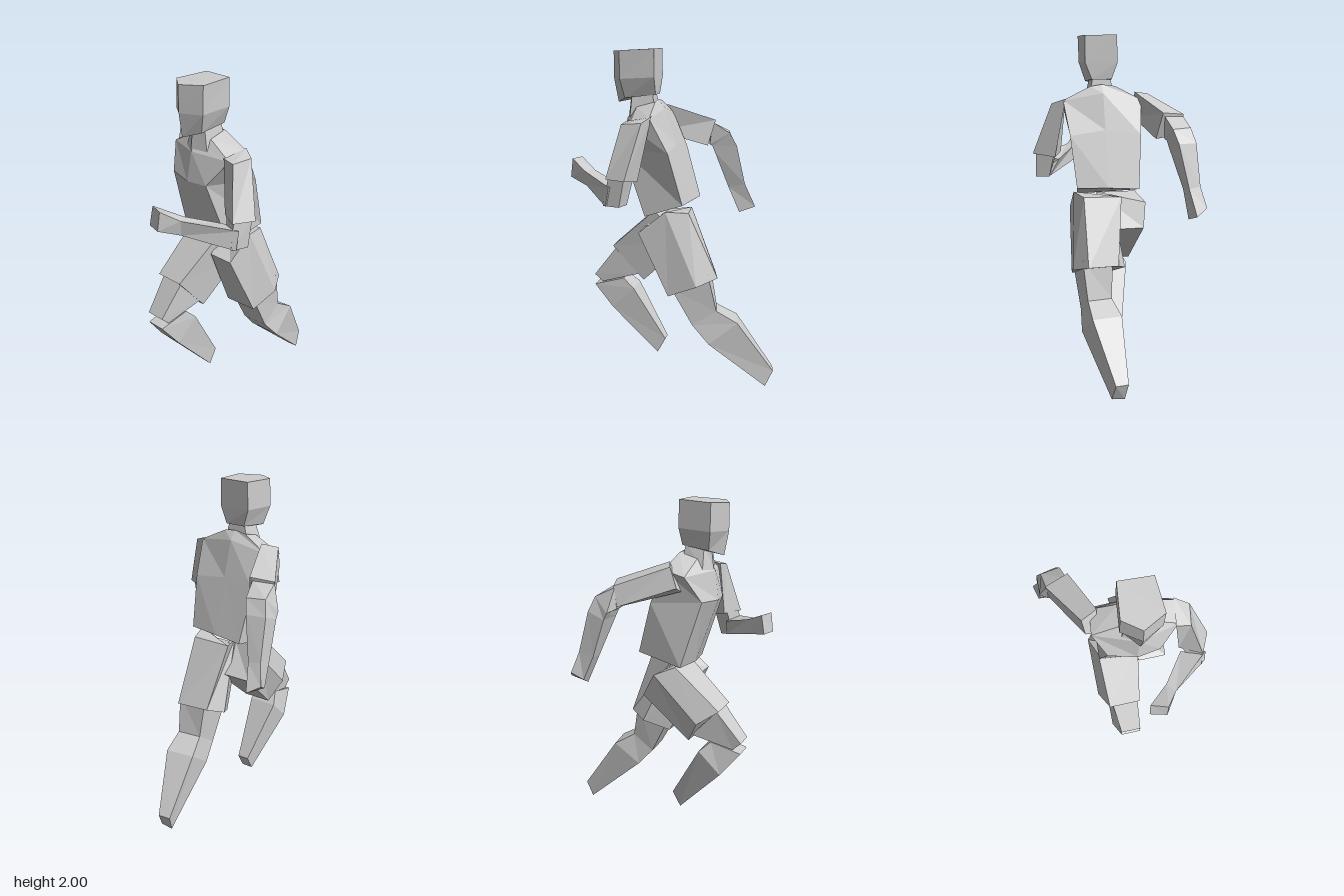
import * as THREE from 'three';

const clay = new THREE.MeshStandardMaterial({ color: 0xcccccc, flatShading: true });
clay.name = 'plainGrey';

// Faceted solid through a list of rings (equal corner counts), closed at both ends.
function loft(name, rings) {
  const n = rings[0].length, tris = [];
  for (let r = 0; r + 1 < rings.length; r++) {
    const a = rings[r], b = rings[r + 1];
    for (let i = 0; i < n; i++) {
      const j = (i + 1) % n;
      tris.push([a[i], a[j], b[j]], [a[i], b[j], b[i]]);
    }
  }
  const last = rings[rings.length - 1];
  for (let i = 1; i + 1 < n; i++) {
    tris.push([rings[0][0], rings[0][i + 1], rings[0][i]], [last[0], last[i], last[i + 1]]);
  }
  // Turn the faces outward if the rings run the other way round.
  const v = (p) => new THREE.Vector3(...p);
  const volume = tris.reduce((s, [a, b, c]) => s + v(a).dot(v(b).cross(v(c))), 0);
  if (volume < 0) tris.forEach((t) => t.reverse());
  const geo = new THREE.BufferGeometry();
  geo.setAttribute('position', new THREE.Float32BufferAttribute(tris.flat(2), 3));
  geo.computeVertexNormals();
  const mesh = new THREE.Mesh(geo, clay);
  mesh.name = name;
  return mesh;
}

function assembly(name, ...parts) {
  const g = new THREE.Group();
  g.name = name;
  g.add(...parts);
  return g;
}

export function createModel() {
  // Head: five-sided, with a ridge down the face, narrowing to the chin
  const head = loft('head', [
    [[-0.04, 2, 0.09], [0.15, 2, 0.1], [0.16, 1.99, 0.3], [0.035, 1.985, 0.365], [-0.065, 1.99, 0.29]],
    [[-0.045, 1.84, 0.09], [0.15, 1.84, 0.1], [0.155, 1.83, 0.3], [0.035, 1.83, 0.365], [-0.07, 1.83, 0.29]],
    [[-0.01, 1.74, 0.1], [0.11, 1.74, 0.1], [0.12, 1.72, 0.28], [0.03, 1.69, 0.34], [-0.035, 1.72, 0.27]],
  ]);
  const neck = loft('neck', [
    [[-0.04, 1.6, 0.1], [0.13, 1.6, 0.1], [0.13, 1.6, 0.25], [0.03, 1.6, 0.28], [-0.05, 1.6, 0.24]],
    [[0, 1.76, 0.12], [0.1, 1.76, 0.12], [0.1, 1.75, 0.24], [0.03, 1.75, 0.26], [0, 1.75, 0.23]],
  ]);

  // Torso: waist, chest, shoulders and collar
  const torso = loft('torso', [
    [[-0.13, 1.11, -0.125], [0.05, 1.12, -0.11], [0.235, 1.12, -0.08], [0.2, 1.04, 0.15], [0.04, 1.04, 0.17], [-0.16, 1.05, 0.15]],
    [[-0.16, 1.42, -0.035], [0.05, 1.45, -0.01], [0.26, 1.42, 0], [0.16, 1.43, 0.29], [0.03, 1.43, 0.31], [-0.13, 1.44, 0.27]],
    [[-0.18, 1.62, 0.055], [0.05, 1.66, 0.055], [0.285, 1.62, 0.1], [0.27, 1.58, 0.22], [0.04, 1.6, 0.285], [-0.2, 1.59, 0.19]],
    [[-0.03, 1.7, 0.09], [0.05, 1.71, 0.1], [0.12, 1.7, 0.1], [0.12, 1.67, 0.21], [0.04, 1.65, 0.25], [-0.03, 1.67, 0.2]],
  ]);

  // Left leg, pushing off behind
  const kneeL = [[0.06, 0.4, -0.13], [0.23, 0.4, -0.14], [0.21, 0.49, -0.28], [0.065, 0.49, -0.26]];
  const leftLeg = assembly('leftLeg',
    loft('leftThigh', [
      [[-0.03, 1.06, -0.09], [0.2, 1.07, -0.11], [0.24, 1.08, 0.02], [0.24, 0.95, 0.18], [0.08, 0.95, 0.18], [0.01, 1.05, 0.04]],
      [[0.02, 0.68, -0.245], [0.205, 0.69, -0.285], [0.28, 0.65, -0.17], [0.26, 0.58, 0], [0.04, 0.57, 0], [-0.04, 0.64, -0.145]],
    ]),
    loft('leftKnee', [
      [[0.05, 0.62, -0.02], [0.25, 0.62, -0.02], [0.23, 0.72, -0.23], [0.05, 0.72, -0.22]], kneeL]),
    loft('leftShin', [kneeL,
      [[0.045, 0.3, -0.22], [0.24, 0.29, -0.24], [0.205, 0.42, -0.405], [0.03, 0.42, -0.38]],
      [[0.055, 0, -0.57], [0.13, 0.005, -0.57], [0.115, 0.1, -0.615], [0.04, 0.1, -0.605]]]));

  // Right leg, lifted in front
  const rightLeg = assembly('rightLeg',
    loft('rightThigh', [
      [[0.08, 1.05, 0.12], [-0.16, 1.05, 0.12], [-0.2, 1, 0], [-0.17, 0.86, -0.08], [0.07, 0.86, -0.08]],
      [[0.035, 0.81, 0.39], [-0.15, 0.81, 0.39], [-0.2, 0.73, 0.27], [-0.14, 0.6, 0.2], [0.03, 0.6, 0.2]],
    ]),
    loft('rightKnee', [
      [[0.025, 0.8, 0.37], [-0.13, 0.8, 0.37], [-0.14, 0.64, 0.22], [0.03, 0.64, 0.22]],
      [[0.015, 0.615, 0.515], [-0.105, 0.615, 0.515], [-0.105, 0.57, 0.465], [0.015, 0.57, 0.465]],
    ]),
    loft('rightShin', [
      [[-0.105, 0.55, 0.515], [0.015, 0.55, 0.515], [0.02, 0.6, 0.33], [-0.11, 0.6, 0.33]],
      [[-0.14, 0.41, 0.4], [0.025, 0.41, 0.4], [0.03, 0.54, 0.265], [-0.14, 0.54, 0.265]],
      [[-0.07, 0.12, 0.12], [0, 0.12, 0.12], [0, 0.21, 0.07], [-0.07, 0.21, 0.07]],
    ]));

  // Right arm, swung back
  const rightArm = assembly('rightArm',
    loft('rightUpperArm', [
      [[-0.145, 1.665, 0.08], [-0.235, 1.65, 0.12], [-0.225, 1.53, 0.155], [-0.16, 1.5, 0.155]],
      [[-0.25, 1.565, -0.2], [-0.385, 1.55, -0.155], [-0.375, 1.43, -0.14], [-0.22, 1.41, -0.155]],
    ]),
    loft('rightForearm', [
      [[-0.26, 1.55, -0.18], [-0.38, 1.54, -0.15], [-0.38, 1.42, -0.14], [-0.27, 1.41, -0.16]],
      [[-0.285, 1.48, -0.285], [-0.395, 1.485, -0.265], [-0.425, 1.4, -0.18], [-0.28, 1.4, -0.175]],
      [[-0.31, 1.4, -0.325], [-0.42, 1.4, -0.3], [-0.425, 1.36, -0.2], [-0.29, 1.36, -0.19]],
      [[-0.36, 1.15, -0.375], [-0.43, 1.16, -0.36], [-0.43, 1.14, -0.27], [-0.355, 1.13, -0.27]],
      [[-0.39, 1, -0.44], [-0.46, 1.04, -0.4], [-0.44, 1, -0.33], [-0.37, 0.965, -0.34]],
    ]));

  // Left arm, bent across the front
  const leftArm = assembly('leftArm',
    loft('leftUpperArm', [
      [[0.27, 1.63, 0.09], [0.35, 1.6, 0.13], [0.33, 1.59, 0.25], [0.25, 1.6, 0.24]],
      [[0.33, 1.27, 0.16], [0.46, 1.29, 0.205], [0.405, 1.29, 0.325], [0.28, 1.29, 0.26]],
    ]),
    loft('leftElbow', [
      [[0.33, 1.3, 0.18], [0.44, 1.3, 0.21], [0.4, 1.3, 0.31], [0.3, 1.3, 0.27]],
      [[0.36, 1.14, 0.215], [0.44, 1.14, 0.24], [0.41, 1.14, 0.34], [0.34, 1.15, 0.3]],
    ]),
    loft('leftForearm', [
      [[0.29, 1.24, 0.27], [0.43, 1.25, 0.3], [0.43, 1.14, 0.32], [0.35, 1.14, 0.25]],
      [[0.16, 1.3, 0.455], [0.2, 1.3, 0.51], [0.19, 1.21, 0.5], [0.16, 1.21, 0.45]],
      [[0.04, 1.36, 0.57], [0.135, 1.36, 0.6], [0.13, 1.25, 0.615], [0.035, 1.25, 0.59]],
    ]));

  return assembly('runner', head, neck, torso, leftLeg, rightLeg, rightArm, leftArm);
}
